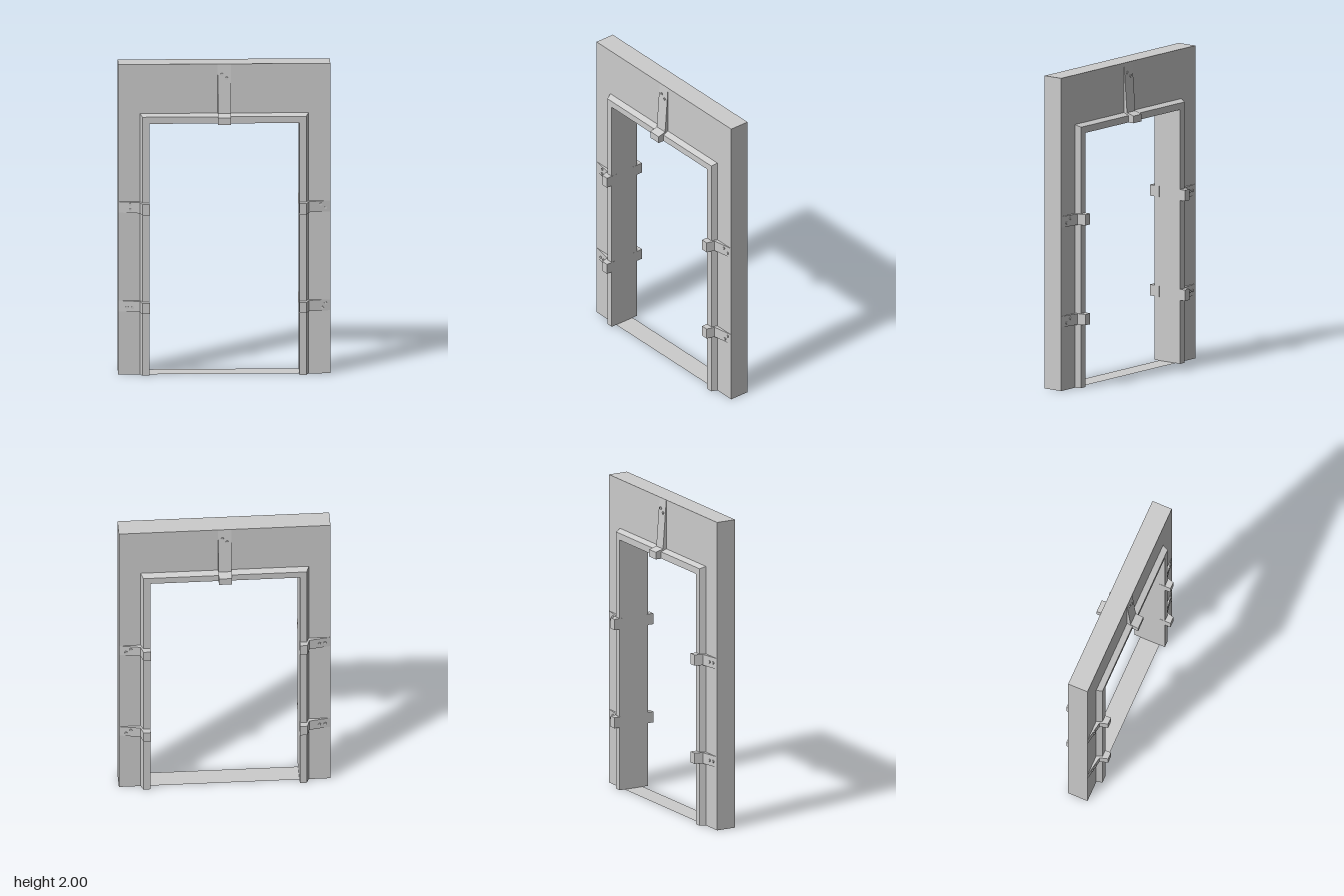
import * as THREE from 'three';

const material = new THREE.MeshStandardMaterial({ color: 0xcccccc, flatShading: true });
const sillMaterial = new THREE.MeshStandardMaterial({ color: 0xcccccc, side: THREE.DoubleSide });

const W = 0.665, H = 2, T = 0.066;   // wall half width, height, half thickness
const OX = 0.47, OY = 1.625;         // opening half width and height
const TRIM = 0.103, BLOCK = 0.142;   // how far trim and clamp blocks stand out

function add(parent, name, geometry, mat = material) {
  const mesh = new THREE.Mesh(geometry, mat);
  mesh.name = name;
  parent.add(mesh);
  return mesh;
}

function polygon(points) {
  return new THREE.Shape(points.map(([x, y]) => new THREE.Vector2(x, y)));
}

// Door wall: an upside-down U with real thickness
function wallGeometry() {
  const shape = polygon([[-W, 0], [-OX, 0], [-OX, OY], [OX, OY], [OX, 0], [W, 0], [W, H], [-W, H]]);
  const geometry = new THREE.ExtrudeGeometry(shape, { depth: 2 * T, bevelEnabled: false });
  return geometry.translate(0, 0, -T);
}

// Bevelled trim: a four-cornered section mitred around the opening
function trimGeometry() {
  const section = [[0, T], [0, TRIM], [0.043, TRIM], [0.058, T]];
  const path = [[-OX, 0, -1, 0], [-OX, OY, -1, 1], [OX, OY, 1, 1], [OX, 0, 1, 0]];
  const positions = [], index = [], n = section.length;
  for (const [x, y, dx, dy] of path)
    for (const [d, z] of section) positions.push(x + dx * d, y + dy * d, z);
  for (let i = 0; i < path.length - 1; i++)
    for (let j = 0; j < n; j++) {
      const a = i * n + j, b = i * n + (j + 1) % n;
      index.push(a, a + n, b, b, a + n, b + n);
    }
  const e = (path.length - 1) * n;
  index.push(0, 1, 2, 0, 2, 3, e, e + 2, e + 1, e, e + 3, e + 2);
  const geometry = new THREE.BufferGeometry();
  geometry.setAttribute('position', new THREE.Float32BufferAttribute(positions, 3));
  geometry.setIndex(index);
  const flat = geometry.toNonIndexed();
  flat.computeVertexNormals();
  return flat;
}

// Clamp: a block over the trim with a strap tapering out to the wall's edge
function clampGeometry(length, width) {
  const profile = polygon([[-0.001, T], [length, T], [0.06, 0.09], [0.045, BLOCK], [-0.001, BLOCK]]);
  const geometry = new THREE.ExtrudeGeometry(profile, { depth: width, bevelEnabled: false });
  return geometry.translate(0, 0, -width / 2).rotateX(Math.PI / 2);
}

const boltGeometry = new THREE.CylinderGeometry(0.009, 0.009, 0.016, 8).rotateX(Math.PI / 2);

// One face of the doorway; each clamp lists its two bolts as x, y
function createFace(name, clamps) {
  const face = new THREE.Group();
  face.name = name;
  add(face, 'trim', trimGeometry());
  for (const { x, y, angle, bolts } of clamps) {
    const top = x === 0;
    const length = top ? H - OY : W - OX;
    const clamp = add(face, top ? 'topClamp' : 'sideClamp', clampGeometry(length, top ? 0.082 : 0.07));
    clamp.position.set(x, y, 0);
    clamp.rotation.z = angle;
    for (const [bx, by] of bolts) {
      const d = top ? by - OY : Math.abs(bx) - OX;
      const z = 0.09 - (0.09 - T) * (d - 0.06) / (length - 0.06);
      add(face, 'bolt', boltGeometry).position.set(bx, by, z - 0.002);
    }
  }
  return face;
}

// Clamp places: top, then upper and lower on each side
function clampSet(top, upperLeft, lowerLeft, upperRight, lowerRight) {
  return [
    { x: 0, y: OY, angle: Math.PI / 2, bolts: top },
    { x: -OX, y: 1.08, angle: Math.PI, bolts: upperLeft },
    { x: -OX, y: 0.442, angle: Math.PI, bolts: lowerLeft },
    { x: OX, y: 1.08, angle: 0, bolts: upperRight },
    { x: OX, y: 0.442, angle: 0, bolts: lowerRight },
  ];
}

export function createModel() {
  const model = new THREE.Group();
  model.name = 'doorway';
  add(model, 'wall', wallGeometry());

  // Flat sill closing the foot of the opening
  add(model, 'sill', new THREE.PlaneGeometry(2 * OX, 2 * T).rotateX(-Math.PI / 2), sillMaterial);

  const topBolts = [[-0.015, 1.935], [0.015, 1.91]];
  model.add(createFace('frontFace', clampSet(topBolts,
    [[-0.59, 1.1], [-0.59, 1.065]], [[-0.61, 0.437], [-0.575, 0.435]],
    [[0.605, 1.095], [0.635, 1.07]], [[0.635, 0.456], [0.615, 0.427]])));

  const back = createFace('backFace', clampSet(topBolts,
    [[-0.62, 1.07], [-0.59, 1.095]], [[-0.62, 0.43], [-0.59, 0.455]],
    [[0.595, 1.08], [0.63, 1.08]], [[0.595, 0.44], [0.63, 0.44]]));
  back.rotation.y = Math.PI;
  model.add(back);
  return model;
}
